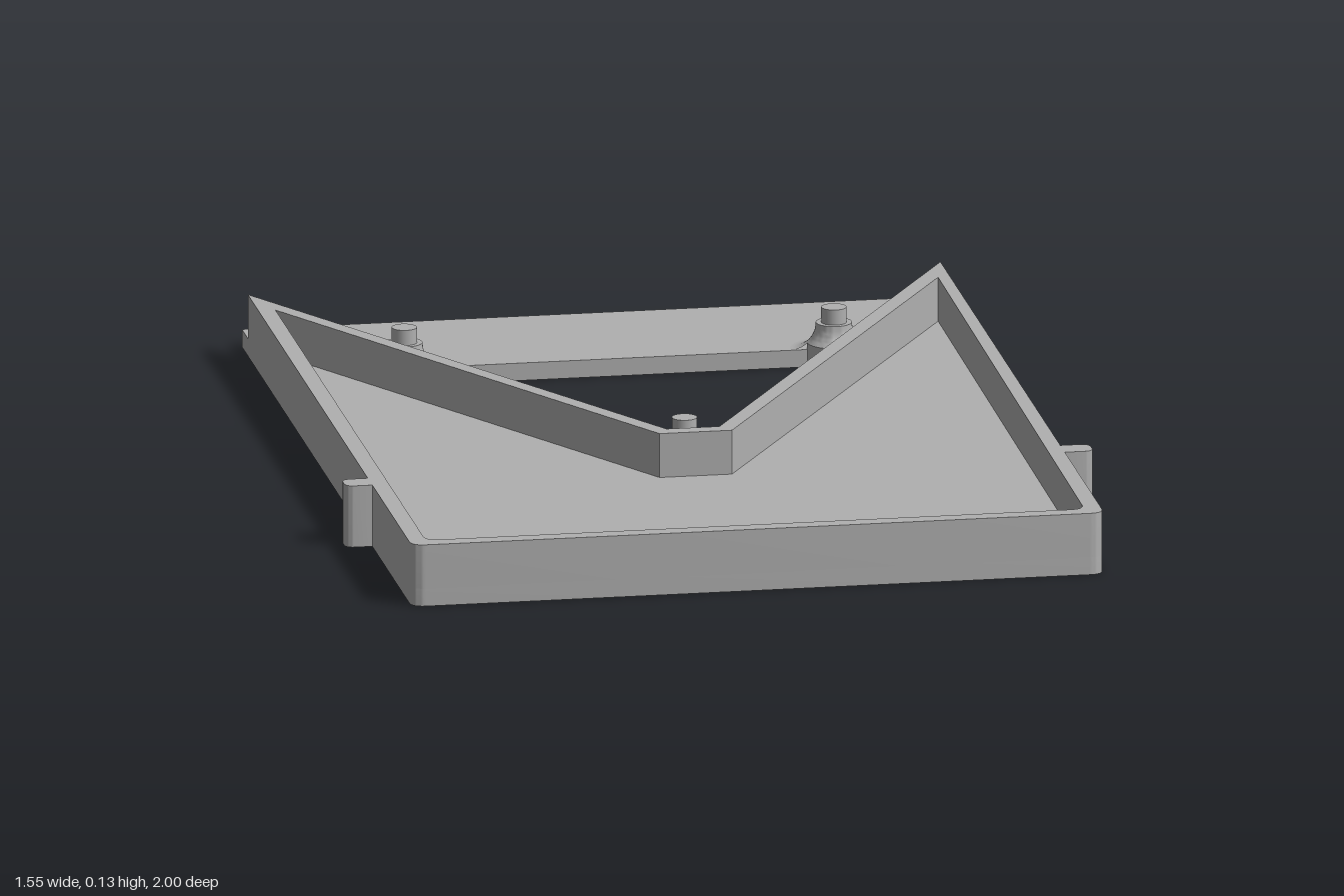
import * as THREE from 'three';
import { toCreasedNormals } from 'three/addons/utils/BufferGeometryUtils.js';

const FLOOR = 0.037, TOP = 0.13;
const LEFT = 0.715, RIGHT = -0.72;

// Outline from [x, z, cornerRadius] points, corners rounded where a radius is given
function outline(points, Type = THREE.Shape) {
  const path = new Type();
  points.forEach(([x, z, r = 0], i) => {
    const n = points.length;
    const p = new THREE.Vector2(x, z);
    const toward = (q) => new THREE.Vector2(q[0], q[1]).sub(p).setLength(r).add(p);
    const a = r ? toward(points[(i + n - 1) % n]) : p;
    if (i === 0) path.moveTo(a.x, a.y);
    else path.lineTo(a.x, a.y);
    if (r) {
      const b = toward(points[(i + 1) % n]);
      path.quadraticCurveTo(x, z, b.x, b.y);
    }
  });
  path.closePath();
  return path;
}

// Upright slab from a plan in x and z
function slab(shape, y0, y1) {
  const g = new THREE.ExtrudeGeometry(shape, { depth: y1 - y0, bevelEnabled: false, curveSegments: 10 });
  g.rotateX(Math.PI / 2).translate(0, y1, 0);
  return toCreasedNormals(g, 0.6);
}

export function createModel() {
  const model = new THREE.Group();
  const grey = new THREE.MeshStandardMaterial({ color: 0xb0b0b0 });
  grey.name = 'grey plastic';
  grey.side = THREE.DoubleSide;
  const add = (name, geometry, parent = model) => {
    const mesh = new THREE.Mesh(geometry, grey);
    mesh.name = name;
    parent.add(mesh);
    return mesh;
  };

  // Posts sit at the corners of the triangular opening;
  // "from" is the lathe angle where the opening's 60 degree sector ends
  const posts = [
    { name: 'rightPost', x: -0.445, z: -0.65, from: 90 },
    { name: 'leftPost', x: 0.445, z: -0.65, from: -30 },
    { name: 'frontPost', x: 0, z: 0.12, from: 210 },
  ];
  const PAD = 0.055;

  // Base plate, its opening cut back by a round pad at each post
  const plate = outline([[RIGHT, -1], [LEFT, -1, 0.03], [LEFT, 1, 0.03], [RIGHT, 1, 0.03]]);
  const opening = [];
  posts.forEach(({ x, z, from }) => {
    for (let i = 0; i <= 10; i++) {
      const a = THREE.MathUtils.degToRad(from - 60 + i * 6);
      opening.push([x + PAD * Math.sin(a), z + PAD * Math.cos(a)]);
    }
  });
  plate.holes.push(outline(opening, THREE.Path));
  add('basePlate', slab(plate, 0, FLOOR));

  // Rim wall around the tray, with a V-shaped notch at the back
  const rim = outline([
    [RIGHT, -0.93], [-0.055, 0.22], [0.055, 0.22], [LEFT, -0.93],
    [LEFT, 1, 0.03], [RIGHT, 1, 0.03],
  ]);
  rim.holes.push(outline([
    [-0.685, -0.805], [-0.075, 0.253], [0.075, 0.253], [0.69, -0.815],
    [0.68, 0.965, 0.03], [-0.685, 0.965, 0.03],
  ], THREE.Path));
  add('rimWall', slab(rim, FLOOR, TOP));

  // Rounded side tabs
  [['leftTab', LEFT, 0.775], ['rightTab', RIGHT, -0.775]].forEach(([name, inner, outer]) => {
    add(name, slab(outline([[inner, 0.482], [outer, 0.482, 0.02], [outer, 0.535, 0.02], [inner, 0.535]]), 0, TOP));
  });

  // Flared posts with a narrower peg on top
  const R0 = 0.037, R1 = 0.09, SHOULDER = 0.093;
  const flareY = (r) => FLOOR + (SHOULDER - FLOOR) * (1 - Math.sqrt(1 - ((R1 - r) / (R1 - R0)) ** 2));
  const flare = (a, b) => Array.from({ length: 9 }, (_, i) => {
    const r = a + (b - a) * (i / 8) ** 1.5;
    return new THREE.Vector2(r, flareY(r));
  });
  posts.forEach(({ name, x, z, from }) => {
    const post = new THREE.Group();
    post.name = name;
    post.position.set(x, 0, z);
    const core = [new THREE.Vector2(PAD, FLOOR), ...flare(R0, PAD).reverse(), new THREE.Vector2(0, SHOULDER)];
    add('postCore', toCreasedNormals(new THREE.LatheGeometry(core, 36), 0.6), post);
    // The outer flare stops where the opening begins
    const start = THREE.MathUtils.degToRad(from);
    add('postFlare', new THREE.LatheGeometry(flare(PAD, R1).reverse(), 32, start, Math.PI * 5 / 3), post);
    const peg = new THREE.CylinderGeometry(0.026, 0.026, 0.125 - SHOULDER, 24);
    add('peg', peg, post).position.y = (0.125 + SHOULDER) / 2;
    model.add(post);
  });

  return model;
}
